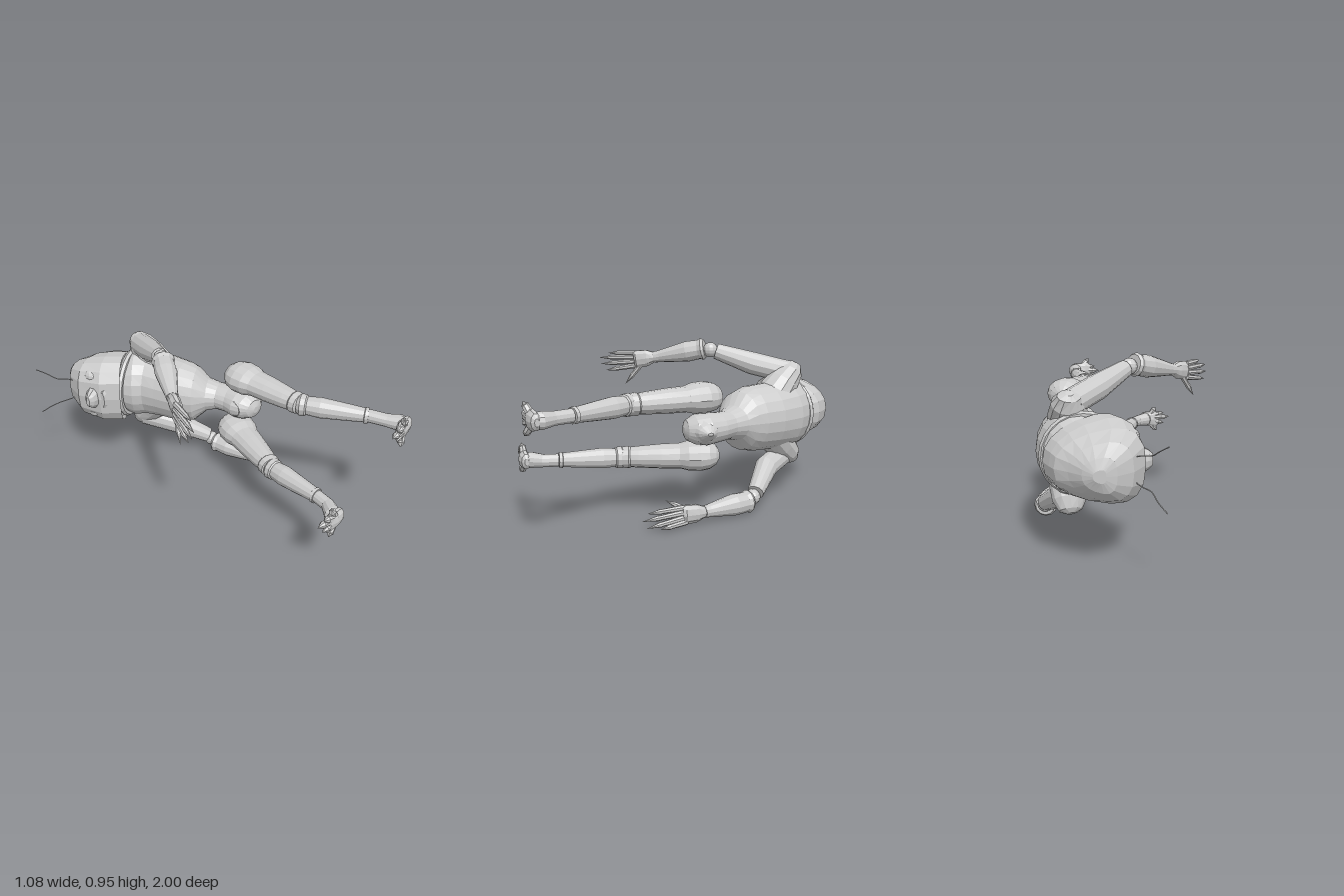
import * as THREE from 'three';

const mat = new THREE.MeshStandardMaterial({ color: 0xcccccc, flatShading: true, side: THREE.DoubleSide });
const MID = 0.505; // height of the body's plane of symmetry

function add(parent, name, geo) {
  const m = new THREE.Mesh(geo, mat);
  m.name = name;
  parent.add(m);
  return m;
}

// Closed skin over rings; each section is [x, y, z, ru, rv].
// power < 1 squares the rings off, flare widens their -u side.
function loft(sections, sides = 12, power = 1, flare = 0) {
  const c = sections.map(s => new THREE.Vector3(s[0], s[1], s[2]));
  const n = c.length, pos = [], idx = [];
  const bend = w => Math.sign(w) * Math.abs(w) ** power;
  c.forEach((p, i) => {
    const t = c[Math.min(i + 1, n - 1)].clone().sub(c[Math.max(i - 1, 0)]).normalize();
    const u = new THREE.Vector3(0, -1, 0).cross(t).normalize();
    const v = t.clone().cross(u);
    const [, , , ru, rv = ru] = sections[i];
    for (let j = 0; j < sides; j++) {
      const a = (j / sides) * Math.PI * 2, cu = bend(Math.cos(a)), cv = bend(Math.sin(a));
      const q = p.clone().addScaledVector(u, ru * cu).addScaledVector(v, rv * cv * (1 - flare * cu));
      pos.push(q.x, q.y, q.z);
      if (i < n - 1) {
        const k = (j + 1) % sides, A = i * sides + j, B = i * sides + k;
        idx.push(A, B, B + sides, A, B + sides, A + sides);
      }
    }
  });
  pos.push(...c[0].toArray(), ...c[n - 1].toArray());
  for (let j = 0; j < sides; j++) {
    const k = (j + 1) % sides, e = (n - 1) * sides;
    idx.push(n * sides, k, j, n * sides + 1, e + j, e + k);
  }
  const g = new THREE.BufferGeometry();
  g.setAttribute('position', new THREE.Float32BufferAttribute(pos, 3));
  g.setIndex(idx);
  g.computeVertexNormals();
  return g;
}

const mix = (a, b, f) => a.map((v, i) => v + (b[i] - v) * f);

// Straight limb segment: profile is a list of [fraction along, ru, rv]
function segment(a, b, profile, sides = 12) {
  return loft(profile.map(([f, ...r]) => [...mix(a, b, f), ...r]), sides);
}

// Tapering digit ending in a claw
function digit(parent, name, base, tip, r) {
  add(parent, name, segment(base, tip, [[0, r], [0.35, r * 0.95], [0.6, r * 0.85], [0.66, r * 0.95], [0.8, r * 0.55], [1, r * 0.05]], 7));
}

function ball(parent, name, p, s) {
  const m = add(parent, name, new THREE.SphereGeometry(1, 12, 8));
  m.position.set(...p);
  m.scale.set(...s);
}

function arm(parent, name, { shoulder, mid, elbow, foreStart, wrist, palm, tips, thumb }) {
  const g = new THREE.Group();
  g.name = name;
  parent.add(g);
  add(g, 'upperArm', loft([[...shoulder, 0.068], [...mid, 0.068], [...elbow, 0.047]]));
  ball(g, 'elbowJoint', mix(elbow, foreStart, 0.5), [0.045, 0.045, 0.045]);
  add(g, 'forearm', segment(foreStart, wrist,
    [[0, 0.055], [0.05, 0.066], [0.12, 0.058], [0.35, 0.062], [0.7, 0.046], [0.9, 0.036], [1, 0.034]]));
  add(g, 'palm', loft([[...wrist, 0.03, 0.032], [...mix(wrist, palm, 0.4), 0.033, 0.052],
    [...palm, 0.028, 0.056], [...mix(wrist, palm, 1.12), 0.015, 0.045]], 10));
  tips.forEach((t, i) => {
    const base = [palm[0] + (t[0] - palm[0]) * 0.15, palm[1] + 0.039 - i * 0.026, palm[2] - 0.01];
    digit(g, 'finger', base, t, 0.016);
  });
  digit(g, 'thumb', mix(wrist, palm, 0.45), thumb, 0.017);
}

function leg(parent, name, { hip, knee, ankle, heel, toeBase, tips }) {
  const g = new THREE.Group();
  g.name = name;
  parent.add(g);
  add(g, 'thigh', segment(hip, knee,
    [[-0.2, 0.03, 0.025], [-0.16, 0.07, 0.055], [-0.08, 0.1, 0.078], [0.03, 0.115, 0.087], [0.17, 0.11, 0.084],
      [0.28, 0.092, 0.07], [0.5, 0.083, 0.068], [0.78, 0.068, 0.06], [0.88, 0.06, 0.056], [0.9, 0.066, 0.062],
      [0.98, 0.062, 0.058], [1, 0.045, 0.045]], 14));
  // Knee band and shin with an ankle cuff
  add(g, 'shin', segment(knee, ankle,
    [[-0.05, 0.05], [0, 0.063], [0.08, 0.06], [0.1, 0.052], [0.3, 0.058], [0.6, 0.05], [0.94, 0.04], [0.95, 0.045], [1, 0.042]]));
  add(g, 'ankle', loft([[...ankle, 0.036], [ankle[0] * 0.6 + heel[0] * 0.4, heel[1], heel[2] - 0.09, 0.036],
    [heel[0] - 0.02, heel[1], heel[2] - 0.03, 0.045], [heel[0] - 0.02, heel[1], heel[2] + 0.012, 0.04]]));
  // Foot sole fanning out into claws
  add(g, 'foot', segment(heel, toeBase, [[-0.25, 0.012, 0.02], [-0.1, 0.026, 0.042], [0.2, 0.03, 0.05], [0.6, 0.032, 0.052],
    [1, 0.022, 0.06], [1.25, 0.01, 0.04]], 10));
  tips.forEach(t => digit(g, 'toe', [toeBase[0] + 0.03, toeBase[1] + (t[1] - toeBase[1]) * 0.4, toeBase[2]], t, 0.021));
}

export function createModel() {
  const model = new THREE.Group();
  model.name = 'recliningFigure';

  // Pelvis, narrow waist, round belly and chest
  add(model, 'torso', loft([
    [0.25, 0.13, 0.02, 0.02], [0.25, 0.115, 0.06, 0.055], [0.253, 0.07, 0.1, 0.08], [0.255, 0.01, 0.118, 0.09],
    [0.24, -0.07, 0.1, 0.082], [0.21, -0.14, 0.088, 0.08], [0.178, -0.2, 0.108, 0.1], [0.135, -0.255, 0.148, 0.17],
    [0.1, -0.33, 0.17, 0.192], [0.07, -0.45, 0.18, 0.198], [0.03, -0.56, 0.182, 0.21], [-0.03, -0.63, 0.19, 0.215],
    [-0.08, -0.69, 0.17, 0.18],
  ].map(([x, z, ru, rv]) => [x, MID, z, ru, rv]), 20));
  add(model, 'rump', loft([[0.16, MID, 0.02, 0.06, 0.05], [0.25, MID, 0.02, 0.1, 0.09], [0.31, MID, 0.025, 0.085, 0.074],
    [0.36, MID, 0.028, 0.055, 0.042], [0.398, MID, 0.03, 0.015, 0.008]], 14));

  // Collar ring and hooded head
  const collar = add(model, 'collar', new THREE.TorusGeometry(0.198, 0.02, 6, 24));
  collar.position.set(-0.055, MID, -0.645);
  collar.rotation.y = 0.483;
  const head = new THREE.Group();
  head.name = 'head';
  model.add(head);
  add(head, 'hood', loft([
    [-0.07, -0.65, 0.2, 0.175], [-0.08, -0.67, 0.225, 0.195], [-0.153, -0.746, 0.232, 0.195], [-0.2, -0.833, 0.215, 0.172],
    [-0.225, -0.908, 0.15, 0.132], [-0.235, -0.965, 0.08, 0.08], [-0.24, -0.983, 0.03, 0.03],
  ].map(([x, z, ru, rv]) => [x, MID, z, ru, rv]), 18, 0.8, 0.25));
  add(head, 'snout', loft([[-0.26, MID, -0.69, 0.07, 0.1], [-0.35, MID, -0.66, 0.045, 0.07],
    [-0.385, MID, -0.645, 0.032, 0.05], [-0.405, MID, -0.638, 0.012, 0.03]], 10));
  add(head, 'jaw', loft([[-0.18, MID, -0.64, 0.05, 0.13], [-0.28, MID, -0.61, 0.04, 0.1], [-0.33, MID, -0.595, 0.015, 0.05]], 10));

  for (const s of [1, -1]) {
    // Eyes and wavy antennae
    ball(head, 'eye', [-0.32, MID + s * 0.12, -0.71], [0.035, 0.04, 0.055]);
    const path = [[-0.34, 0.05, -0.81], [-0.4, 0.072, -0.85], [-0.45, 0.083, -0.875], [-0.49, 0.115, -0.92], [-0.54, 0.15, -0.955]]
      .map(([x, y, z]) => new THREE.Vector3(x, MID + s * y, z));
    add(head, 'antenna', new THREE.TubeGeometry(new THREE.CatmullRomCurve3(path), 16, 0.003, 5));
    // Shoulders flaring out of the chest
    add(model, 'shoulder', loft([[0.06, 0.1, -0.5, 0.12, 0.11], [0.04, 0.19, -0.58, 0.1, 0.095], [0.02, 0.25, -0.635, 0.085, 0.075],
      [0.005, 0.29, -0.66, 0.06, 0.045], [0, 0.305, -0.668, 0.02, 0.02]].map(([x, y, ...r]) => [x, MID + s * y, ...r]), 12));
  }

  arm(model, 'rightArm', {
    shoulder: [0.01, 0.755, -0.62], mid: [-0.07, 0.805, -0.43], elbow: [-0.165, 0.875, -0.235],
    foreStart: [-0.195, 0.89, -0.175], wrist: [-0.365, 0.83, 0.09], palm: [-0.415, 0.815, 0.19],
    tips: [[-0.475, 0.855, 0.35], [-0.505, 0.825, 0.4], [-0.51, 0.785, 0.39], [-0.505, 0.745, 0.36]],
    thumb: [-0.46, 0.66, 0.25],
  });
  arm(model, 'leftArm', {
    shoulder: [0.01, 0.25, -0.62], mid: [0.13, 0.21, -0.44], elbow: [0.275, 0.11, -0.3],
    foreStart: [0.295, 0.072, -0.255], wrist: [0.355, 0.065, 0.05], palm: [0.375, 0.07, 0.17],
    tips: [[0.345, 0.09, 0.37], [0.37, 0.06, 0.405], [0.4, 0.03, 0.39], [0.42, 0.022, 0.32]],
    thumb: [0.325, 0.145, 0.26],
  });
  leg(model, 'rightLeg', {
    hip: [0.25, 0.68, 0], knee: [0.265, 0.67, 0.44], ankle: [0.435, 0.67, 0.77],
    heel: [0.515, 0.67, 0.955], toeBase: [0.42, 0.67, 0.97],
    tips: [[0.335, 0.67, 0.985], [0.37, 0.7, 0.99], [0.415, 0.752, 0.995], [0.37, 0.64, 0.99], [0.415, 0.585, 0.995]],
  });
  leg(model, 'leftLeg', {
    hip: [0.21, 0.345, 0], knee: [0.06, 0.335, 0.43], ankle: [0.032, 0.345, 0.77],
    heel: [-0.005, 0.345, 0.94], toeBase: [-0.09, 0.345, 0.945],
    tips: [[-0.19, 0.37, 0.945], [-0.15, 0.395, 0.95], [-0.09, 0.43, 0.95], [-0.15, 0.32, 0.95], [-0.1, 0.262, 0.955]],
  });
  return model;
}
